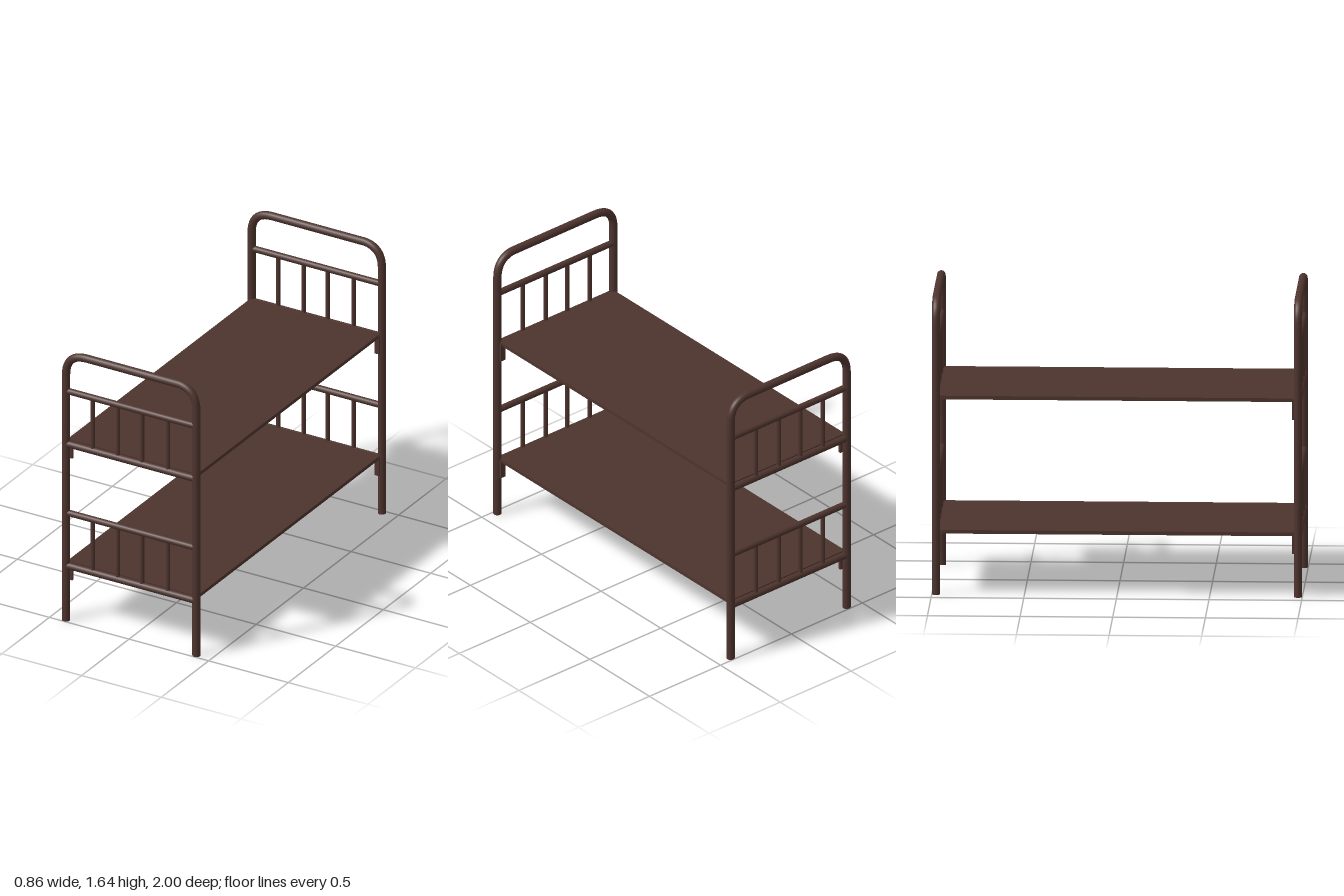
import * as THREE from 'three';

const brown = new THREE.MeshStandardMaterial({ color: 0x4e342e });
brown.name = 'brownMetal';

const POST_X = 0.409, END_Z = 0.977, TOP_Y = 1.618, BEND = 0.13;
const BUNKS = [0.332, 1.07]; // height of each bunk's lower rail

function add(parent, name, geometry, x, y, z) {
  const mesh = new THREE.Mesh(geometry, brown);
  mesh.name = name;
  mesh.position.set(x, y, z);
  parent.add(mesh);
  return mesh;
}

// Two posts and the top bar as one bent tube
function frameGeometry() {
  const v = (x, y) => new THREE.Vector3(x, y, 0);
  const path = new THREE.CurvePath();
  const points = [v(-POST_X, 0), v(-POST_X, TOP_Y - BEND)];
  const bend = (a, corner, b) =>
    new THREE.QuadraticBezierCurve3(a, corner, b).getPoints(10).slice(1);
  points.push(...bend(points[1], v(-POST_X, TOP_Y), v(-POST_X + BEND, TOP_Y)));
  points.push(...bend(v(POST_X - BEND, TOP_Y), v(POST_X, TOP_Y), v(POST_X, TOP_Y - BEND)));
  points.push(v(POST_X, 0));
  for (let i = 1; i < points.length; i++) {
    path.add(new THREE.LineCurve3(points[i - 1], points[i]));
  }
  return new THREE.TubeGeometry(path, 220, 0.0225, 16, false);
}

function createEnd(name, side) {
  const end = new THREE.Group();
  end.name = name;
  end.position.z = side * END_Z;
  add(end, 'bentFrame', frameGeometry(), 0, 0, 0);
  for (const x of [-POST_X, POST_X]) {
    add(end, 'footCap', new THREE.CylinderGeometry(0.0225, 0.0225, 0.004, 16), x, 0.002, 0);
  }

  for (const y of BUNKS) {
    // Lower and upper cross rails
    for (const [dy, r] of [[0, 0.02], [0.32, 0.018]]) {
      const rail = add(end, 'crossRail',
        new THREE.CylinderGeometry(r, r, POST_X * 2, 16, 1, true), 0, y + dy, 0);
      rail.rotation.z = Math.PI / 2;
    }
    // Spindles between the rails
    for (const x of [-0.241, -0.083, 0.069, 0.231]) {
      add(end, 'spindle', new THREE.CylinderGeometry(0.012, 0.012, 0.32, 12, 1, true), x, y + 0.16, 0);
    }
    // Plates holding the deck to the posts
    for (const x of [-0.396, 0.396]) {
      add(end, 'bracket', new THREE.BoxGeometry(0.03, 0.11, 0.014), x, y - 0.04, -side * 0.026);
    }
  }
  return end;
}

export function createModel() {
  const bed = new THREE.Group();
  bed.name = 'bunkBed';
  bed.add(createEnd('frontEnd', 1), createEnd('backEnd', -1));
  // Flat sleeping decks
  BUNKS.forEach((y, i) => add(bed, i ? 'upperDeck' : 'lowerDeck',
    new THREE.BoxGeometry(0.814, 0.02, 1.93), 0, y + 0.012, 0));
  return bed;
}
